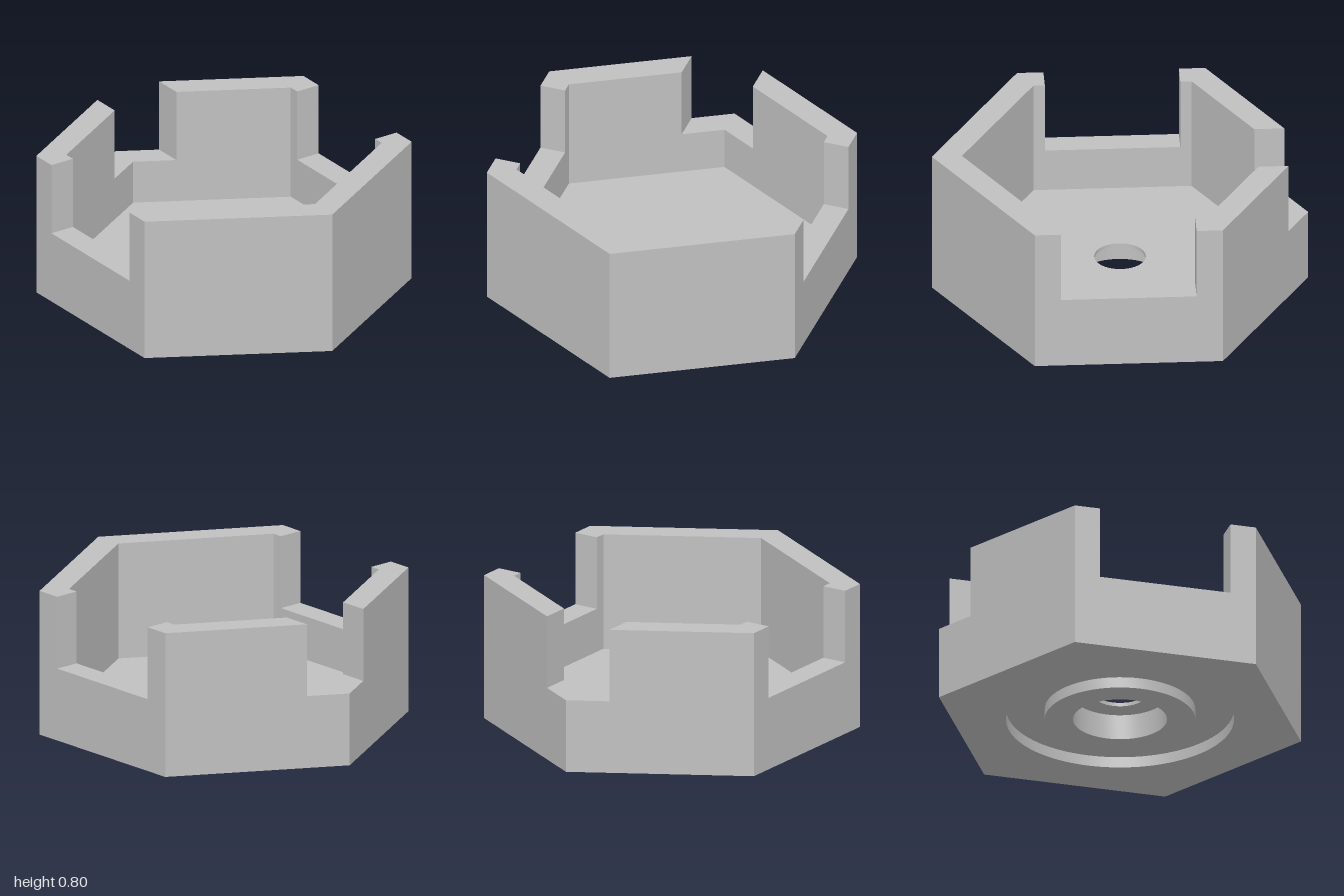
import * as THREE from 'three';
import { toCreasedNormals } from 'three/addons/utils/BufferGeometryUtils.js';

const OUTER = 1, INNER = 0.84;      // hexagon corner radii
const SIN60 = Math.sqrt(3) / 2;
const SEGMENTS = 64;

const lightGrey = new THREE.MeshStandardMaterial({ color: 0xc0c0c0 });
lightGrey.name = 'lightGrey';

function hexPoints(r) {
  return Array.from({ length: 6 }, (_, i) => {
    const a = (i * Math.PI) / 3;
    return new THREE.Vector2(r * Math.cos(a), r * Math.sin(a));
  });
}

function circleHole(r) {
  return new THREE.Path().absarc(0, 0, r, 0, Math.PI * 2, true);
}

function addMesh(group, name, geometry) {
  const mesh = new THREE.Mesh(toCreasedNormals(geometry, 0.5), lightGrey);
  mesh.name = name;
  group.add(mesh);
}

// Horizontal slab: a plan outline with an optional hole, from y0 up to y1
function addSlab(group, name, points, hole, y0, y1) {
  const shape = new THREE.Shape(points);
  if (hole) shape.holes.push(hole);
  const geometry = new THREE.ExtrudeGeometry(shape, {
    depth: y1 - y0, bevelEnabled: false, curveSegments: SEGMENTS,
  });
  geometry.rotateX(-Math.PI / 2).translate(0, y0, 0);
  addMesh(group, name, geometry);
}

export function createModel() {
  const model = new THREE.Group();
  model.name = 'hexagonalTray';

  // Base with a round recess underneath, closed by the floor
  addSlab(model, 'base', hexPoints(OUTER), circleHole(0.605), 0, 0.14);
  addSlab(model, 'floor', hexPoints(OUTER), circleHole(0.137), 0.14, 0.16);

  // Stepped boss and groove on the underside
  const profile = [[0.25, 0.14], [0.25, 0], [0.4, 0], [0.4, 0.06], [0.605, 0.06]]
    .map(([r, y]) => new THREE.Vector2(r, y));
  addMesh(model, 'undersideBoss', new THREE.LatheGeometry(profile, SEGMENTS));

  // Low wall all the way round
  addSlab(model, 'lowerWall', hexPoints(OUTER), new THREE.Path(hexPoints(INNER)), 0.16, 0.4);

  // Tall walls, leaving openings at the front, back and one corner
  const gapX = 0.36, gapZ = 0.2;
  const slantX = (r) => r - gapZ / Math.sqrt(3);
  const v = (x, y) => new THREE.Vector2(x, y);
  const zo = OUTER * SIN60, zi = INNER * SIN60;

  addSlab(model, 'leftUpperWall', [
    v(gapX, -zo), v(OUTER / 2, -zo), v(OUTER, 0), v(OUTER / 2, zo), v(gapX, zo),
    v(gapX, zi), v(INNER / 2, zi), v(INNER, 0), v(INNER / 2, -zi), v(gapX, -zi),
  ], null, 0.4, 0.8);

  for (const s of [-1, 1]) {
    addSlab(model, s < 0 ? 'rightFrontUpperWall' : 'rightBackUpperWall', [
      v(-gapX, s * zo), v(-OUTER / 2, s * zo), v(-slantX(OUTER), s * gapZ),
      v(-slantX(INNER), s * gapZ), v(-INNER / 2, s * zi), v(-gapX, s * zi),
    ], null, 0.4, 0.8);
  }

  return model;
}
